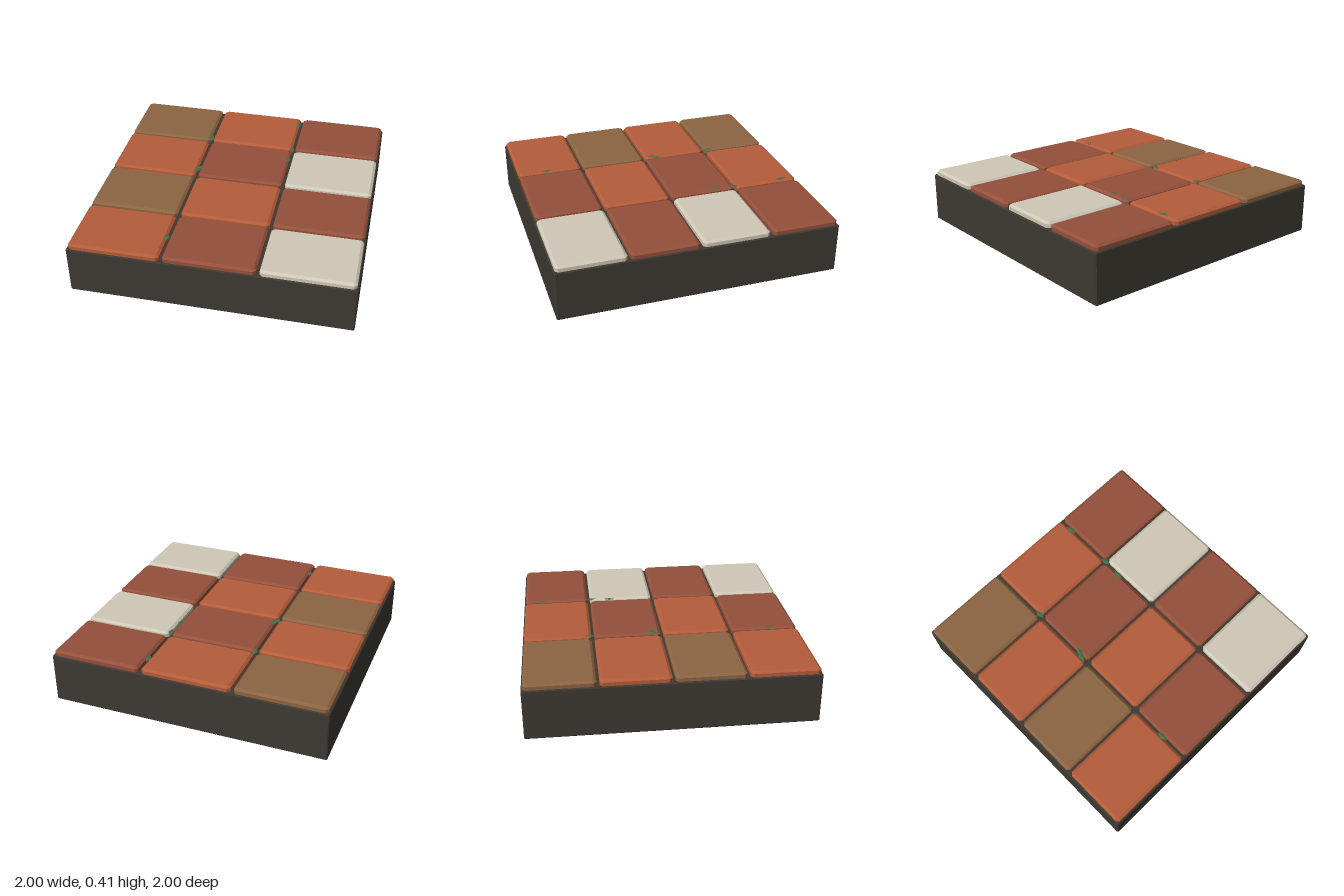
import * as THREE from 'three';

const mat = (color) => new THREE.MeshStandardMaterial({ color, flatShading: true });

// Block with chamfered edges and clipped corners, standing on y = 0
function chamferBlock(w, h, d, bevel, rise, clip) {
  const x = w / 2 - bevel, y = d / 2 - bevel;
  const shape = new THREE.Shape([
    [x, -y + clip], [x, y - clip], [x - clip, y], [-x + clip, y],
    [-x, y - clip], [-x, -y + clip], [-x + clip, -y], [x - clip, -y],
  ].map(([a, b]) => new THREE.Vector2(a, b)));
  const geo = new THREE.ExtrudeGeometry(shape, {
    depth: h - 2 * rise, bevelEnabled: true, bevelSegments: 1,
    bevelSize: bevel, bevelThickness: rise,
  });
  return geo.rotateX(-Math.PI / 2).translate(0, rise, 0);
}

export function createModel() {
  const model = new THREE.Group();
  const add = (parent, name, geo, material, x, y, z) => {
    const mesh = new THREE.Mesh(geo, material);
    mesh.name = name;
    mesh.position.set(x, y, z);
    parent.add(mesh);
    return mesh;
  };

  // Mortar slab
  add(model, 'base', chamferBlock(2, 0.36, 2, 0.006, 0.006, 0.004), mat(0x3d3932), 0, 0, 0);

  // Paving tiles, coloured along the diagonals
  const tiles = new THREE.Group();
  tiles.name = 'tiles';
  model.add(tiles);
  const colors = [0x8c6442, 0xb45c3a, 0x94503a, 0xd0c8b6].map(mat);
  const tileGeo = chamferBlock(0.644, 0.06, 0.48, 0.018, 0.014, 0.01);
  for (let row = 0; row < 4; row++) {
    for (let col = 0; col < 3; col++) {
      add(tiles, `tile${row}${col}`, tileGeo, colors[col + (row % 2)],
        (col - 1) * 0.667, 0.34, (row - 1.5) * 0.5);
    }
  }

  // Small flat leaves over the joints: x, z, turn
  const leaves = new THREE.Group();
  leaves.name = 'leaves';
  model.add(leaves);
  const leafGeo = new THREE.OctahedronGeometry(1).scale(0.02, 0.006, 0.045);
  const green = mat(0x42704a);
  [
    [0.32, -0.865, 0.1], [0.325, -0.485, 0.2], [0.315, -0.34, -0.1],
    [-0.33, -0.52, 0], [-0.322, -0.09, -0.3], [-0.338, -0.06, -0.2], [-0.34, 0.78, 0.1],
  ].forEach(([x, z, turn], i) => {
    add(leaves, `leaf${i}`, leafGeo, green, x, 0.409, z).rotation.y = turn;
  });
  return model;
}
